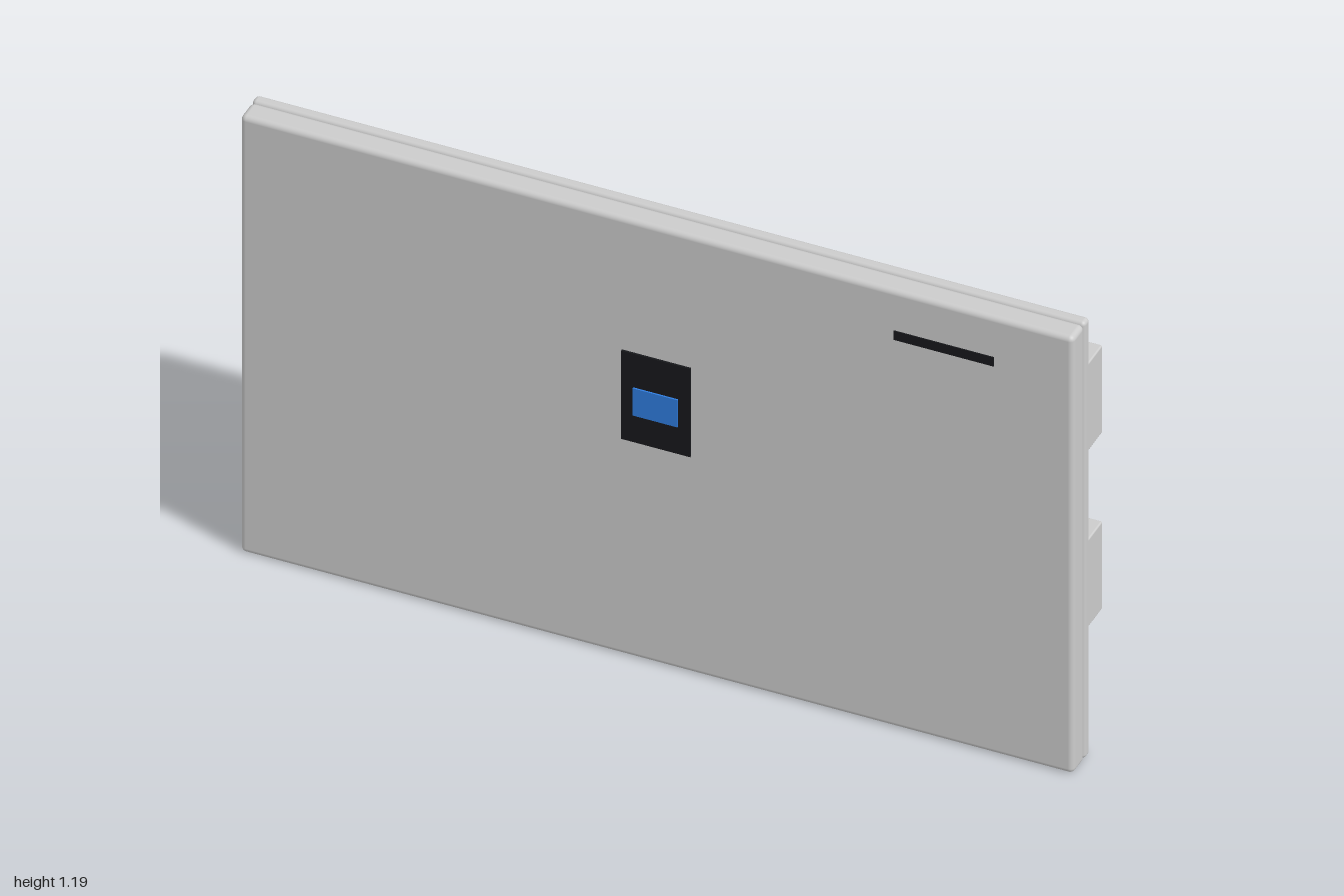
import * as THREE from 'three';
import { RoundedBoxGeometry } from 'three/addons/geometries/RoundedBoxGeometry.js';

export function createModel() {
  const model = new THREE.Group();
  const grey = new THREE.MeshStandardMaterial({ color: 0xcccccc });
  const black = new THREE.MeshStandardMaterial({ color: 0x17181b });
  const blue = new THREE.MeshStandardMaterial({ color: 0x2f7de0 });

  // Box given by its min and max on each axis; radius > 0 rounds the edges
  function block(name, [x0, x1], [y0, y1], [z0, z1], material, radius = 0) {
    const size = [x1 - x0, y1 - y0, z1 - z0];
    const geometry = radius
      ? new RoundedBoxGeometry(...size, 4, radius)
      : new THREE.BoxGeometry(...size);
    const mesh = new THREE.Mesh(geometry, material);
    mesh.name = name;
    mesh.position.set((x0 + x1) / 2, (y0 + y1) / 2, (z0 + z1) / 2);
    model.add(mesh);
  }

  // Two stacked panels
  block('frontPanel', [-1, 1], [0, 1.187], [0.115, 0.176], grey, 0.013);
  block('backPanel', [-1, 1], [0, 1.187], [0.086, 0.115], grey, 0.01);

  // Horizontal bars on the back
  block('upperBar', [-0.908, 0.908], [0.662, 0.9], [-0.185, 0.088], grey, 0.004);
  block('lowerBar', [-0.908, 0.908], [0.183, 0.421], [-0.185, 0.088], grey, 0.004);

  // Control unit with its screen, and the slot in the upper corner
  block('controlPlate', [-0.083, 0.083], [0.59, 0.83], [0.17, 0.181], black);
  block('screen', [-0.054, 0.054], [0.665, 0.739], [0.175, 0.185], blue);
  block('slot', [0.57, 0.81], [1.056, 1.08], [0.17, 0.179], black);

  return model;
}
